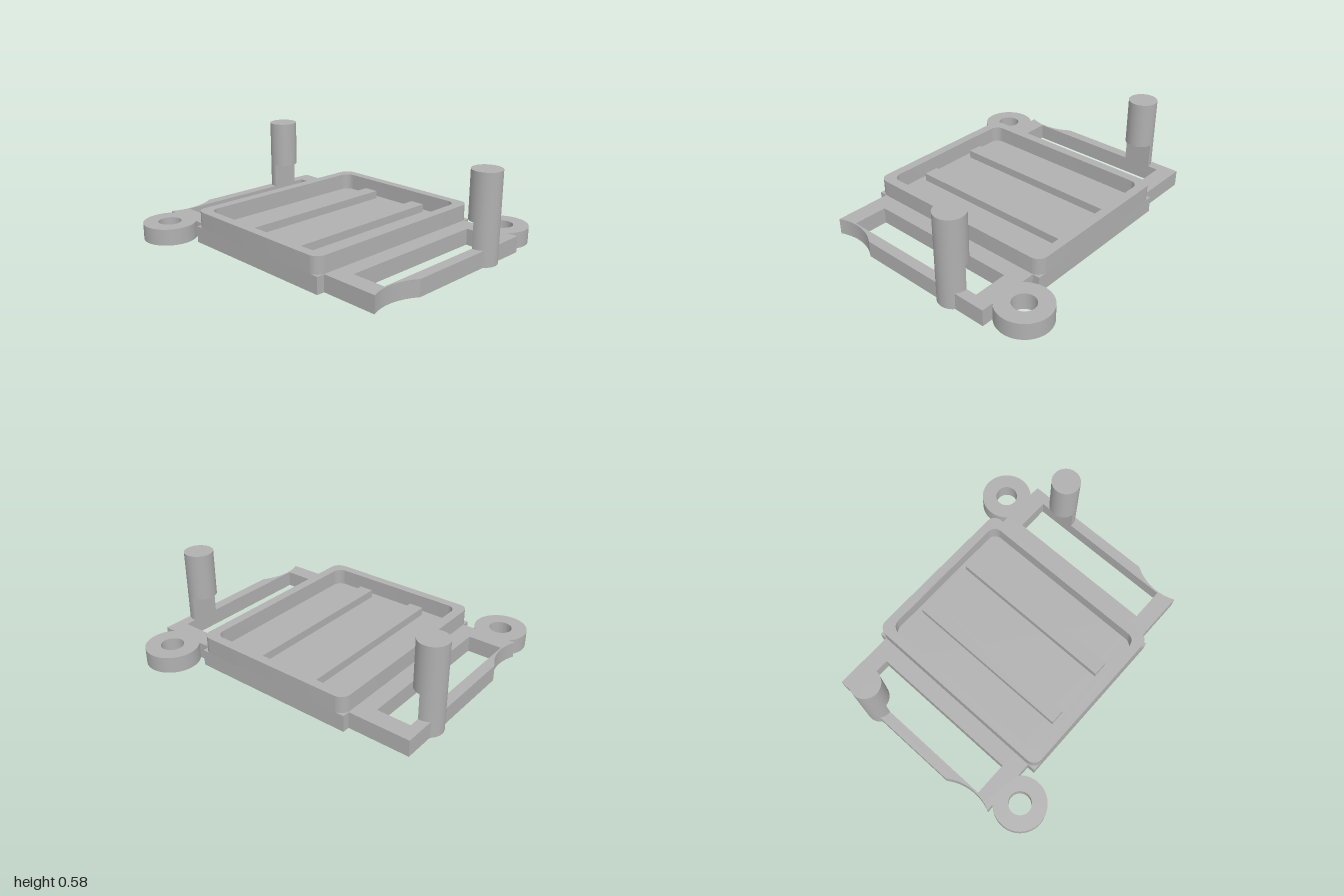
import * as THREE from 'three';
import { toCreasedNormals } from 'three/addons/utils/BufferGeometryUtils.js';

const BASE_H = 0.107, RIM_H = 0.215, RIB_H = 0.16;
const POST_H = 0.58, NOTCH_H = 0.27;

// Extrude a plan shape (x, -z) upward from y0 to y1
function slab(shape, y0, y1) {
  const g = new THREE.ExtrudeGeometry(shape, { depth: y1 - y0, bevelEnabled: false, curveSegments: 32 });
  g.rotateX(-Math.PI / 2);
  g.translate(0, y0, 0);
  return toCreasedNormals(g, 0.5);
}

function rectPath(x0, x1, v0, v1) {
  return new THREE.Path([[x0, v0], [x1, v0], [x1, v1], [x0, v1]].map(p => new THREE.Vector2(...p)));
}

function roundedRect(path, hw, hh, r) {
  path.moveTo(hw, -hh + r);
  path.absarc(hw - r, hh - r, r, 0, Math.PI / 2, false);
  path.absarc(-hw + r, hh - r, r, Math.PI / 2, Math.PI, false);
  path.absarc(-hw + r, -hh + r, r, Math.PI, Math.PI * 1.5, false);
  path.absarc(hw - r, -hh + r, r, Math.PI * 1.5, Math.PI * 2, false);
  return path;
}

// Base outline: side frames with scooped edges, two bolt ears, square tray footprint
function baseShape() {
  const s = new THREE.Shape();
  const R = 0.33, ear = 0.17, a = Math.asin(0.12 / ear);
  const up = Math.asin(0.19 / R), down = Math.asin(0.135 / R);
  s.moveTo(-0.965, 0.63);
  s.lineTo(-0.965, -0.3);
  s.absarc(-1.235, -0.49, R, up, -down, true);
  s.absarc(-0.77, -0.745, ear, Math.PI - a, Math.PI * 2 + a, false);
  s.lineTo(-0.56, -0.625);
  s.lineTo(-0.56, -0.677);
  s.lineTo(0.56, -0.677);
  s.lineTo(0.56, -0.625);
  s.absarc(1.235, -0.49, R, Math.PI + down, Math.PI - up, true);
  s.lineTo(0.965, 0.63);
  s.absarc(0.77, 0.75, ear, -a, Math.PI + a, false);
  s.lineTo(0.56, 0.63);
  s.lineTo(0.56, 0.677);
  s.lineTo(-0.56, 0.677);
  s.lineTo(-0.56, 0.63);
  s.closePath();

  // Side windows and bolt holes
  s.holes.push(rectPath(-0.895, -0.67, -0.51, 0.515), rectPath(0.67, 0.895, -0.51, 0.515));
  for (const [x, v] of [[-0.77, -0.745], [0.77, 0.75]]) {
    s.holes.push(new THREE.Path().absarc(x, v, 0.073, 0, Math.PI * 2, true));
  }
  return s;
}

export function createModel() {
  const model = new THREE.Group();
  model.name = 'mountingTray';
  const grey = new THREE.MeshStandardMaterial({ color: 0xb0b0b0 });
  grey.name = 'grey plastic';

  const add = (name, geometry) => {
    const mesh = new THREE.Mesh(geometry, grey);
    mesh.name = name;
    model.add(mesh);
    return mesh;
  };

  add('basePlate', slab(baseShape(), 0, BASE_H));

  // Raised tray wall
  const wall = roundedRect(new THREE.Shape(), 0.558, 0.677, 0.065);
  wall.holes.push(roundedRect(new THREE.Path(), 0.495, 0.617, 0.06));
  add('trayWall', slab(wall, BASE_H, RIM_H));

  // Ribs on the tray floor
  for (const x of [-0.215, 0.21]) {
    add('trayRib', new THREE.BoxGeometry(0.1, RIB_H - BASE_H, 1.145))
      .position.set(x, (RIB_H + BASE_H) / 2, -0.003);
  }

  // Posts: a full cylinder above a foot that is cut flat on its inner side
  const r = 0.095, cx = 0.905, cut = Math.acos(-0.01 / r);
  for (const side of [-1, 1]) {
    const label = side > 0 ? 'left' : 'right';
    const mid = side > 0 ? 0 : Math.PI;
    const foot = new THREE.Shape().absarc(side * cx, 0.35, r, mid - cut, mid + cut, false);
    foot.closePath();
    add(label + 'PostFoot', slab(foot, 0, NOTCH_H));
    add(label + 'Post', new THREE.CylinderGeometry(r, r, POST_H - NOTCH_H, 48))
      .position.set(side * cx, (POST_H + NOTCH_H) / 2, -0.35);
  }
  return model;
}
